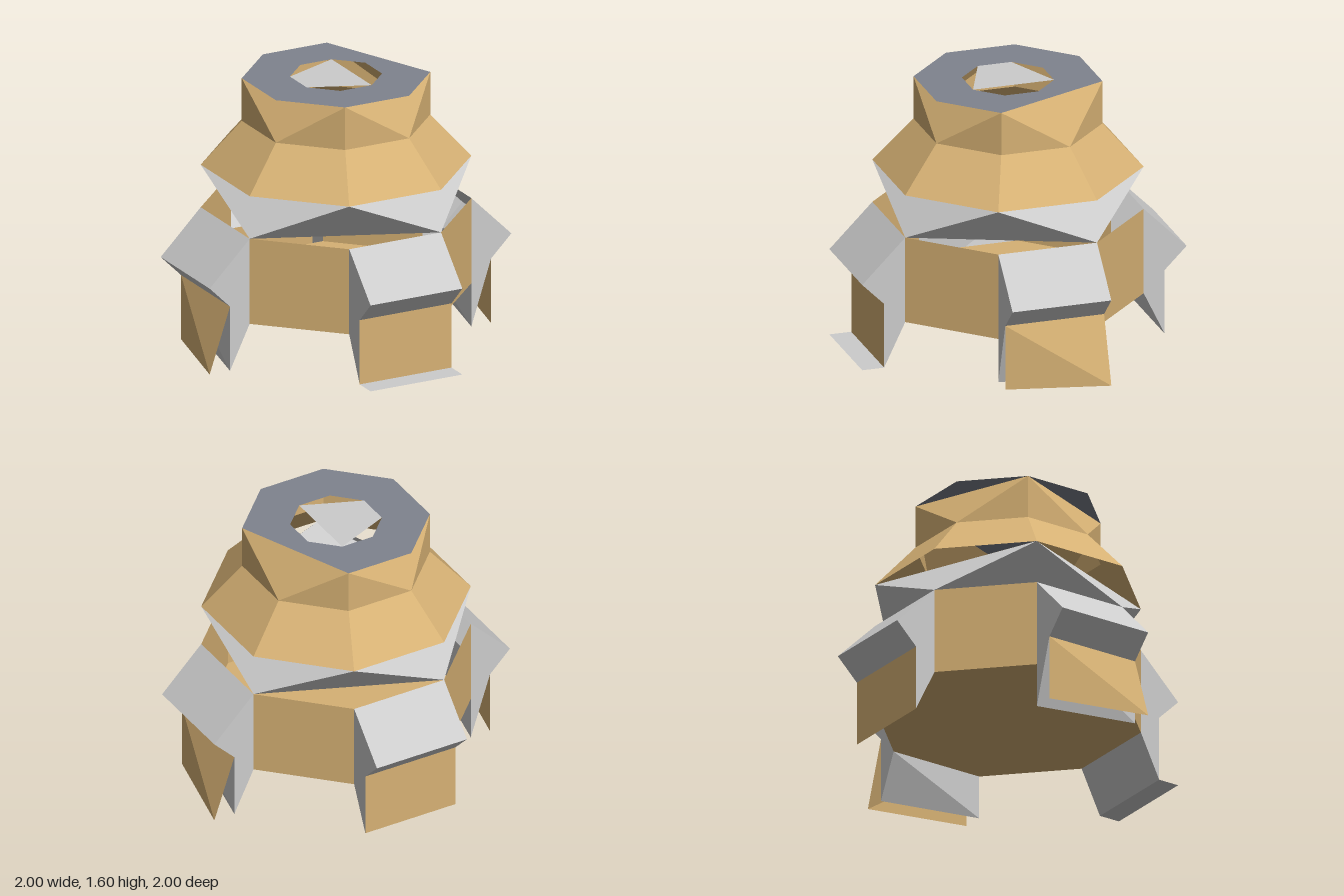
import * as THREE from 'three';

const material = (color) =>
  new THREE.MeshStandardMaterial({ color, flatShading: true, side: THREE.DoubleSide });
const grey = material(0xcccccc);
const tan = material(0xd6b174);
const slate = material(0x7f838e);

// Heights of the levels and outer sizes (centre to flat side)
const FLOOR = 0.27, WALL = 0.8, EAVE = 1.065, NECK = 1.33, TOP = 1.595;
const BODY = 0.735, CROWN = 0.512, HOLE = 0.25;
const H = BODY * Math.tan(Math.PI / 8); // half a body side

// Corner i of an octagon, counter-clockwise from above
function corner(apothem, i, y) {
  const a = Math.PI / 8 + (i * Math.PI) / 4;
  const r = apothem / Math.cos(Math.PI / 8);
  return [r * Math.sin(a), y, r * Math.cos(a)];
}

// Mesh of flat polygons, each fanned out from its first corner
function faces(name, mat, polygons) {
  const pos = [];
  for (const p of polygons) {
    for (let i = 1; i < p.length - 1; i++) pos.push(...p[0], ...p[i], ...p[i + 1]);
  }
  const g = new THREE.BufferGeometry();
  g.setAttribute('position', new THREE.Float32BufferAttribute(pos, 3));
  g.computeVertexNormals();
  const mesh = new THREE.Mesh(g, mat);
  mesh.name = name;
  return mesh;
}

const ring = (fn) => Array.from({ length: 8 }, (_, i) => fn(i));
const quarter = (fn) => [0, 2, 4, 6].flatMap(fn);

// Leg pointing along +z; a twisted leg has its foot turned outward
function makeLeg(name, twisted) {
  const leg = new THREE.Group();
  leg.name = name;
  const inner = twisted ? [0.735, 0.865] : [0.865, 0.865];
  const outer = twisted ? [0.865, 1] : [0.865, 0.865];
  const side = (x, foot) => [
    [x, FLOOR, BODY], [x, foot === BODY ? 0 : FLOOR, BODY], [x, 0, foot],
    [x, 0.4, 0.865], [x, 0.535, 1], [x, WALL, BODY],
  ];
  const strip = (y0, z0, y1, z1) => [[-H, y1, z1], [-H, y0, z0], [H, y0, z0], [H, y1, z1]];
  const shell = [
    side(-H, inner[0]),
    side(H, inner[1]).reverse(),
    strip(0.535, 1, WALL, BODY),
    strip(0.4, 0.865, 0.535, 1),
    [[H, FLOOR, BODY], [H, 0, inner[1]], [-H, 0, inner[0]], [-H, FLOOR, BODY]],
  ];
  // start the reversed side's fan at the same inner corner
  shell[1].unshift(shell[1].pop());
  if (twisted) {
    shell.push([[-H, 0.4, 0.865], [-H, 0, inner[0]], [H, 0, inner[1]], [H, 0.4, 0.865]]);
  }
  leg.add(faces('legShell', grey, shell));
  leg.add(faces('footPanel', tan, [
    [[-H, 0.4, 0.865], [-H, 0, outer[0]], [H, 0, outer[1]], [H, 0.4, 0.865]],
  ]));
  return leg;
}

export function createModel() {
  const model = new THREE.Group();
  model.name = 'octagonalTower';

  // Open tub: floor and the four diagonal walls
  model.add(faces('floor', tan, [ring((i) => corner(BODY, i, FLOOR)).reverse()]));
  model.add(faces('walls', tan, quarter((i) => [[
    corner(BODY, i, FLOOR), corner(BODY, i + 1, FLOOR),
    corner(BODY, i + 1, WALL), corner(BODY, i, WALL),
  ]])));

  // Four legs
  const names = ['frontLeg', 'leftLeg', 'backLeg', 'rightLeg'];
  names.forEach((name, k) => {
    const leg = makeLeg(name, k % 2 === 1);
    leg.rotation.y = (k * Math.PI) / 2;
    model.add(leg);
  });

  // Flat toe in front of the front leg
  model.add(faces('frontToe', grey, [[[-H, 0, 0.865], [-H, 0, 1], [H, 0, 1], [H, 0, 0.865]]]));

  // Twisted band: every second corner below joined to the others above
  model.add(faces('band', grey, quarter((i) => [
    [corner(BODY, i, WALL), corner(BODY, i + 1, EAVE), corner(BODY, i - 1, EAVE)],
    [corner(BODY, i, WALL), corner(BODY, i + 2, WALL), corner(BODY, i + 1, EAVE)],
  ])));

  // Sloping roof
  model.add(faces('roof', tan, ring((i) => [
    corner(BODY, i, EAVE), corner(BODY, i + 1, EAVE),
    corner(CROWN, i + 1, NECK), corner(CROWN, i, NECK),
  ])));

  // Crown: full octagon below, every second corner above
  model.add(faces('crown', tan, quarter((i) => [
    [corner(CROWN, i, NECK), corner(CROWN, i + 1, TOP), corner(CROWN, i - 1, TOP)],
    [corner(CROWN, i, NECK), corner(CROWN, i + 1, NECK), corner(CROWN, i + 1, TOP)],
    [corner(CROWN, i + 1, NECK), corner(CROWN, i + 2, NECK), corner(CROWN, i + 1, TOP)],
  ])));

  // Top plate with one clipped corner and an octagonal hole
  const flat = (r, i) => {
    const [x, , z] = corner(r, i, 0);
    return new THREE.Vector2(x, -z);
  };
  const shape = new THREE.Shape(ring((i) => flat(CROWN, i)).filter((_, i) => i !== 2));
  shape.holes.push(new THREE.Path(ring((i) => flat(HOLE, i)).reverse()));
  const plate = new THREE.Mesh(new THREE.ShapeGeometry(shape), slate);
  plate.name = 'topPlate';
  plate.rotation.x = -Math.PI / 2;
  plate.position.y = TOP;
  model.add(plate);

  // Lid covering part of the hole
  model.add(faces('holeLid', grey, [[0, 3, 5, 6].map((i) => corner(HOLE, i, TOP))]));

  return model;
}
